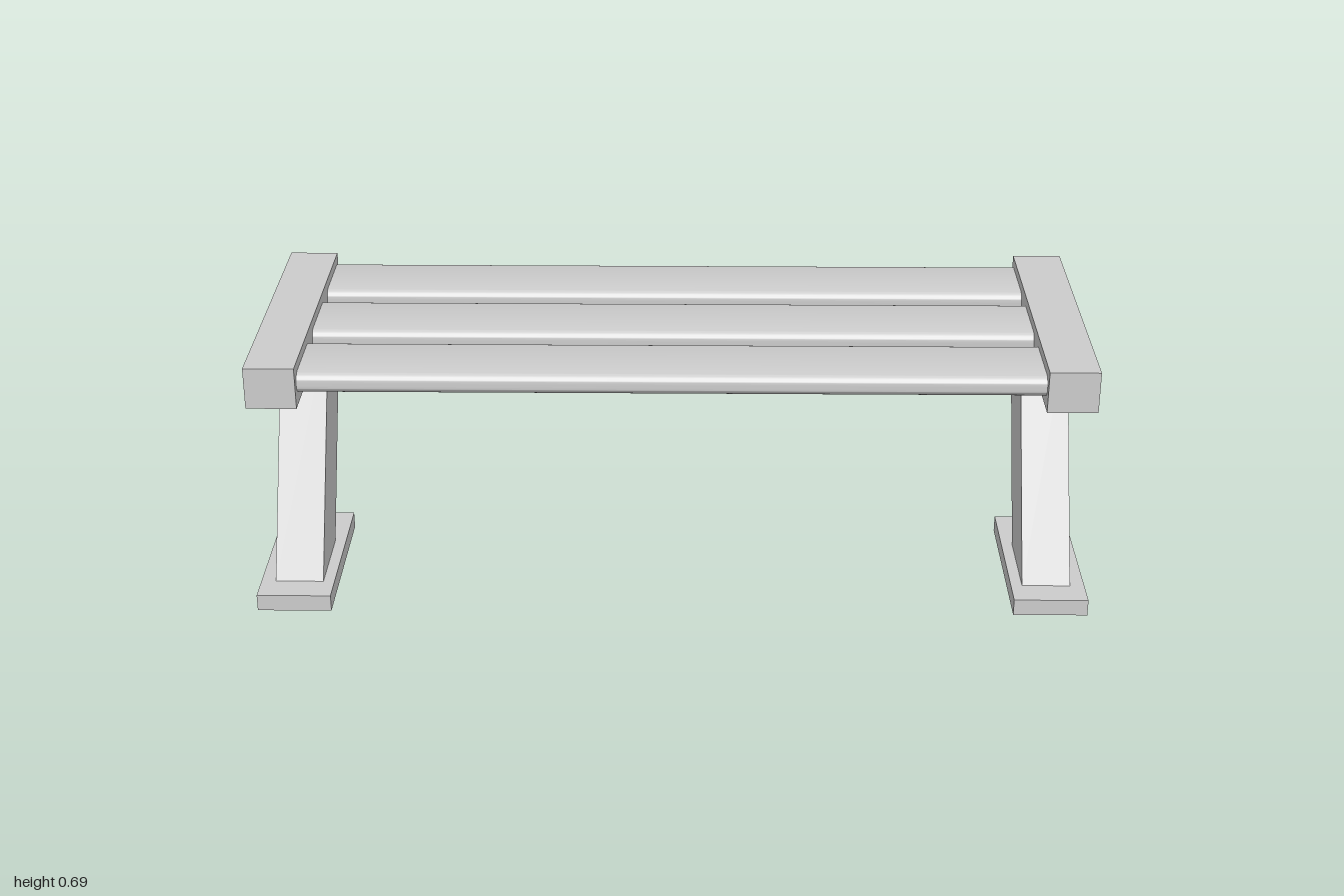
import * as THREE from 'three';
import { toCreasedNormals } from 'three/addons/utils/BufferGeometryUtils.js';

const material = new THREE.MeshStandardMaterial({ color: 0xcccccc });

// Extrudes a side profile (drawn as -z, y) along x, centred on x = 0
function extrudeAlongX(shape, width) {
  const geometry = new THREE.ExtrudeGeometry(shape, { depth: width, bevelEnabled: false, curveSegments: 12 });
  geometry.translate(0, 0, -width / 2).rotateY(Math.PI / 2);
  return toCreasedNormals(geometry, 0.6);
}

function addMesh(group, name, geometry, x, y, z) {
  const mesh = new THREE.Mesh(geometry, material);
  mesh.name = name;
  mesh.position.set(x, y, z);
  group.add(mesh);
}

export function createModel() {
  const bench = new THREE.Group();
  bench.name = 'bench';

  // End frame: horizontal arm and slanted leg in one profile
  const frameShape = new THREE.Shape([
    [0.028, 0.041], [0.353, 0.588], [0.353, 0.687],
    [-0.353, 0.687], [-0.353, 0.588], [0.145, 0.588], [-0.18, 0.041],
  ].map(([u, y]) => new THREE.Vector2(u, y)));
  const frame = extrudeAlongX(frameShape, 0.116);
  const foot = new THREE.BoxGeometry(0.178, 0.041, 0.427);

  for (const [side, s] of [['left', 1], ['right', -1]]) {
    addMesh(bench, side + 'EndFrame', frame, s * 0.907, 0, 0);
    addMesh(bench, side + 'FootPlate', foot, s * 0.911, 0.0205, 0.037);
  }

  // Seat slats with fully rounded long edges
  const r = 0.025, half = 0.098 - r;
  const slatShape = new THREE.Shape();
  slatShape.moveTo(-half, -r);
  slatShape.lineTo(half, -r);
  slatShape.absarc(half, 0, r, -Math.PI / 2, Math.PI / 2, false);
  slatShape.lineTo(-half, r);
  slatShape.absarc(-half, 0, r, Math.PI / 2, Math.PI * 1.5, false);
  const slat = extrudeAlongX(slatShape, 1.7);
  for (let i = 0; i < 3; i++) {
    addMesh(bench, 'seatSlat' + (i + 1), slat, 0, 0.639, -0.254 + i * 0.2455);
  }

  return bench;
}
